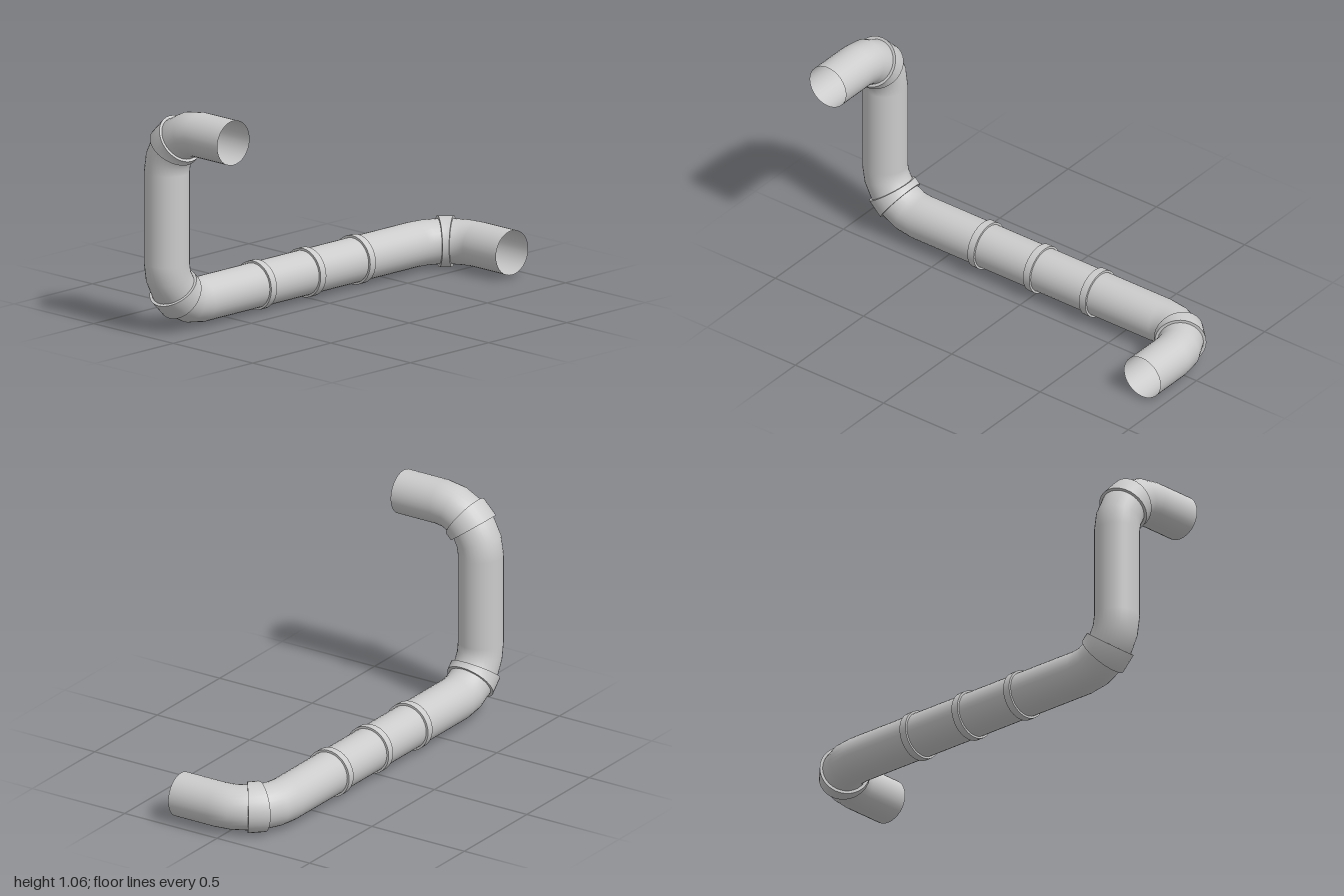
import * as THREE from 'three';

const SIDES = 32;
const PIPE = 0.103;   // pipe radius
const BEND = 0.209;   // centre-line radius of the elbows
const COLLAR = 0.116; // elbow collar radius
const BAND = 0.113;   // straight band radius

const material = new THREE.MeshStandardMaterial({ color: 0xcccccc, side: THREE.DoubleSide });

function addMesh(parent, name, geometry) {
  const mesh = new THREE.Mesh(geometry, material);
  mesh.name = name;
  parent.add(mesh);
  return mesh;
}

// Open cylinder between two points
function addTube(parent, name, from, to, radius) {
  const a = new THREE.Vector3(...from), b = new THREE.Vector3(...to);
  const mesh = addMesh(parent, name,
    new THREE.CylinderGeometry(radius, radius, a.distanceTo(b), SIDES, 1, true));
  mesh.position.copy(a).lerp(b, 0.5);
  mesh.quaternion.setFromUnitVectors(new THREE.Vector3(0, 1, 0), b.sub(a).normalize());
  return mesh;
}

// Five-segment quarter bend from direction u to direction v, middle segment sleeved by a collar
function addElbow(parent, name, centre, u, v) {
  const elbow = new THREE.Group();
  elbow.name = name;
  const U = new THREE.Vector3(...u), V = new THREE.Vector3(...v);
  const W = new THREE.Vector3().crossVectors(U, V);
  elbow.quaternion.setFromRotationMatrix(new THREE.Matrix4().makeBasis(U, V, W));
  elbow.position.set(...centre);

  addMesh(elbow, 'bend', new THREE.TorusGeometry(BEND, PIPE, SIDES, 5, Math.PI / 2));

  const step = Math.PI / 10;
  addMesh(elbow, 'collar',
    new THREE.TorusGeometry(BEND, COLLAR, SIDES, 1, step).rotateZ(2 * step));
  for (const i of [2, 3]) {
    addMesh(elbow, 'collarRim', new THREE.RingGeometry(PIPE, COLLAR, SIDES)
      .rotateX(i === 3 ? -Math.PI / 2 : Math.PI / 2)
      .translate(BEND, 0, 0)
      .rotateZ(i * step));
  }
  parent.add(elbow);
}

// Raised band around the long horizontal pipe
function addBand(parent, x, y, z) {
  const band = new THREE.Group();
  band.name = 'jointBand';
  const half = 0.018;
  addTube(band, 'bandSleeve', [0, 0, -half], [0, 0, half], BAND);
  for (const s of [-1, 1]) {
    const rim = addMesh(band, 'bandRim', new THREE.RingGeometry(PIPE, BAND, SIDES));
    rim.position.z = s * half;
    if (s < 0) rim.rotation.y = Math.PI;
  }
  band.position.set(x, y, z);
  parent.add(band);
}

export function createModel() {
  const model = new THREE.Group();
  model.name = 'pipeRun';

  // Centre-line positions
  const x = -0.154, end = 0.265;
  const low = 0.117, high = 0.956;
  const front = 0.884, back = -0.897;

  // Straight runs
  addTube(model, 'upperOutlet', [x + BEND, high, front], [end, high, front], PIPE);
  addTube(model, 'verticalPipe', [x, low + BEND, front], [x, high - BEND, front], PIPE);
  addTube(model, 'longPipe', [x, low, back + BEND], [x, low, front - BEND], PIPE);
  addTube(model, 'lowerOutlet', [x + BEND, low, back], [end, low, back], PIPE);

  // Elbows
  addElbow(model, 'upperElbow', [x + BEND, high - BEND, front], [-1, 0, 0], [0, 1, 0]);
  addElbow(model, 'frontElbow', [x, low + BEND, front - BEND], [0, 0, 1], [0, -1, 0]);
  addElbow(model, 'backElbow', [x + BEND, low, back + BEND], [-1, 0, 0], [0, 0, -1]);

  // Bands on the long run
  for (const z of [-0.32, -0.003, 0.312]) addBand(model, x, low, z);

  return model;
}
